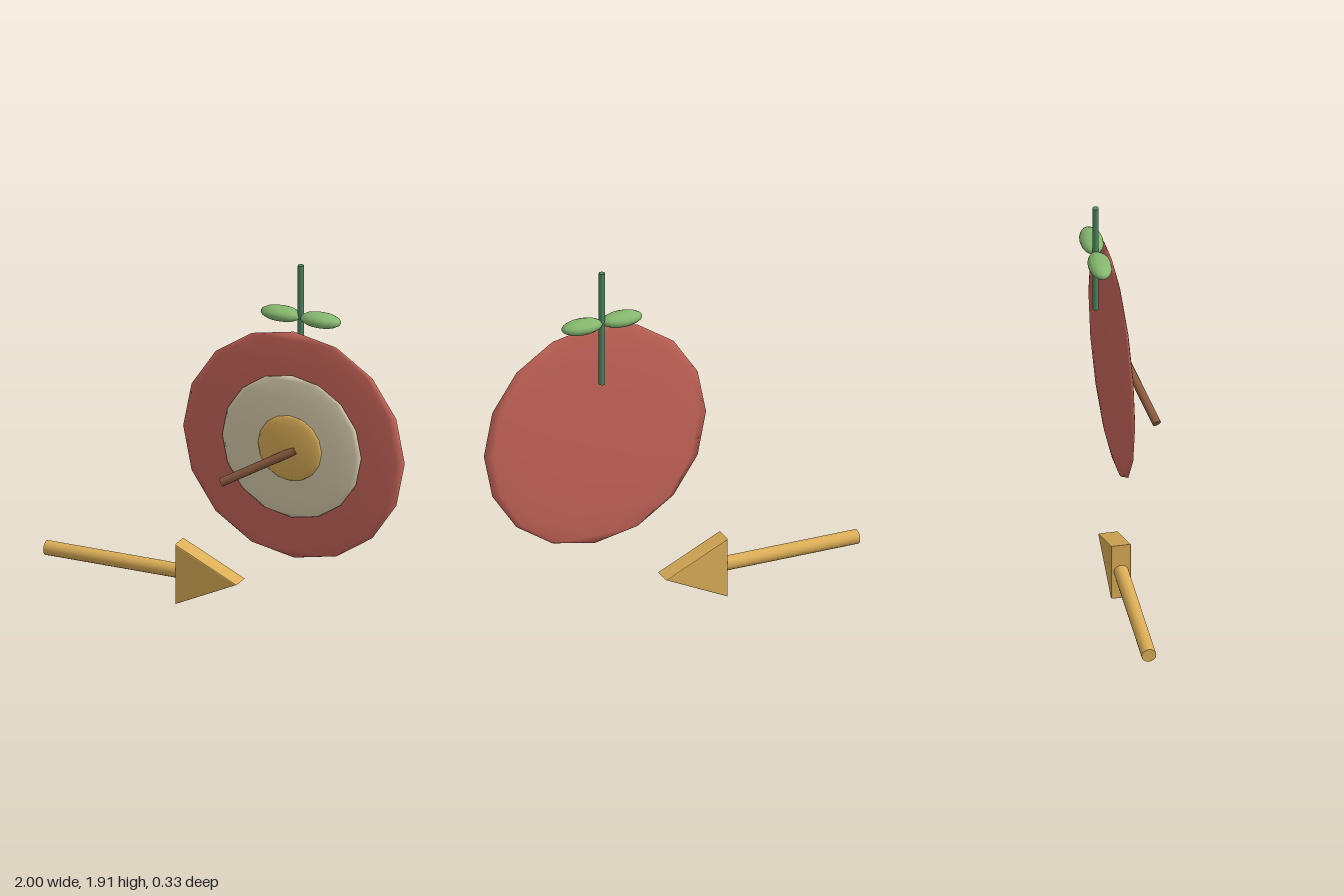
import * as THREE from 'three';

const material = (name, color) => {
  const m = new THREE.MeshStandardMaterial({ color });
  m.name = name;
  return m;
};

export function createModel() {
  const group = new THREE.Group();
  const red = material('red', 0xc8665a);
  const cream = material('cream', 0xd9ceae);
  const gold = material('gold', 0xdcae58);
  const brown = material('brown', 0x8a5a3e);
  const stemGreen = material('stem green', 0x4f8562);
  const leafGreen = material('leaf green', 0x86b86f);

  const add = (name, geometry, mat) => {
    const mesh = new THREE.Mesh(geometry, mat);
    mesh.name = name;
    group.add(mesh);
    return mesh;
  };
  // Sphere squashed to the given half sizes
  const ellipsoid = (name, mat, center, half) => {
    const geometry = new THREE.SphereGeometry(1, 16, 8).scale(...half);
    return add(name, geometry, mat).position.set(...center);
  };
  // Round rod between two points
  const rod = (name, mat, from, to, radius, sides = 12) => {
    const a = new THREE.Vector3(...from), b = new THREE.Vector3(...to);
    const axis = b.clone().sub(a);
    const mesh = add(name, new THREE.CylinderGeometry(radius, radius, axis.length(), sides), mat);
    mesh.position.copy(a).add(b).multiplyScalar(0.5);
    mesh.quaternion.setFromUnitVectors(new THREE.Vector3(0, 1, 0), axis.normalize());
  };

  // Target: three nested lens-shaped discs
  const x = 0.39, y = 0.985;
  ellipsoid('outerDisc', red, [x, y, -0.023], [0.605, 0.605, 0.024]);
  ellipsoid('middleDisc', cream, [x, y, 0.003], [0.38, 0.38, 0.023]);
  ellipsoid('centerDisc', gold, [x, y, 0.027], [0.174, 0.174, 0.021]);

  // Peg leaning out of the centre
  rod('peg', brown, [0.425, 0.983, 0.035], [0.07, 0.79, 0.143], 0.022);

  // Stem with a pair of leaves
  rod('stem', stemGreen, [x, 1.3, -0.105], [x, 1.915, -0.105], 0.016);
  for (const side of [-1, 1]) {
    ellipsoid(side > 0 ? 'leftLeaf' : 'rightLeaf', leafGreen,
      [x + side * 0.108, 1.64, -0.105], [0.11, 0.038, 0.059]);
  }

  // Arrow on the ground: shaft and slightly bevelled triangular head
  rod('arrowShaft', gold, [-1, 0.165, -0.105], [-0.26, 0.165, -0.105], 0.037, 16);
  const head = new THREE.Shape([
    new THREE.Vector2(-0.269, 0.0115),
    new THREE.Vector2(0.052, 0.1635),
    new THREE.Vector2(-0.269, 0.3155),
  ]);
  add('arrowHead', new THREE.ExtrudeGeometry(head, {
    depth: 0.088, bevelEnabled: true, bevelSize: 0.007, bevelThickness: 0.007, bevelSegments: 2,
  }), gold).position.z = -0.149;

  return group;
}
